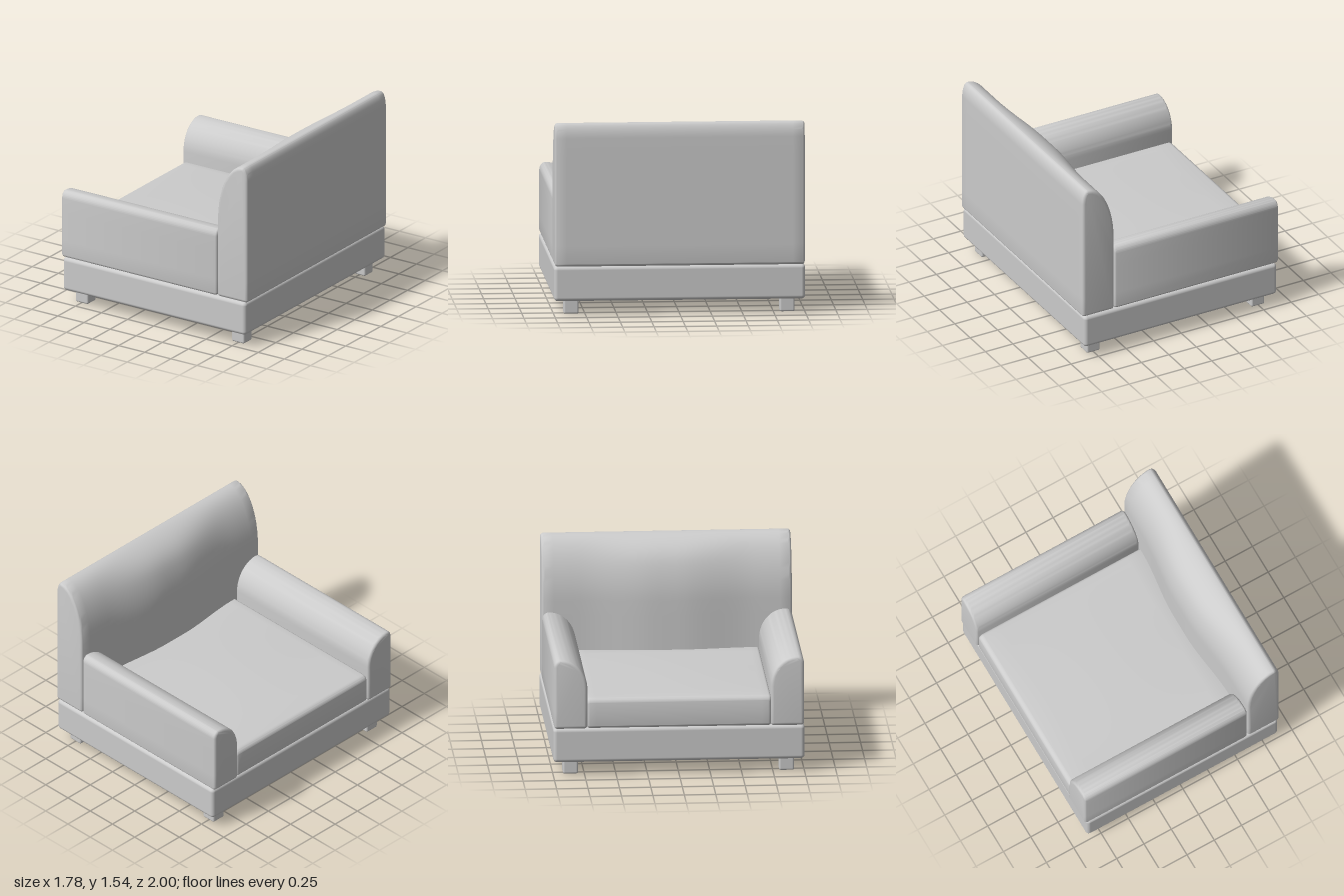
import * as THREE from 'three';
import { toCreasedNormals } from 'three/addons/utils/BufferGeometryUtils.js';
import { RoundedBoxGeometry } from 'three/addons/geometries/RoundedBoxGeometry.js';

const material = new THREE.MeshStandardMaterial({ color: 0xcccccc });

function addMesh(group, name, geometry, x, y, z) {
  const mesh = new THREE.Mesh(geometry, material);
  mesh.name = name;
  mesh.position.set(x, y, z);
  group.add(mesh);
  return mesh;
}

// Upholstered pad: a w x h profile with a broad curve (rx, ry) at its upper left
// and a smaller one (ox, oy) at its upper right, extruded along z about z = 0.
function padGeometry(w, h, length, rx, ry, ox, oy, bend) {
  const r = 0.025, bevel = 0.025;
  const outline = new THREE.Shape();
  outline.moveTo(r, 0);
  outline.lineTo(w - r, 0);
  outline.absarc(w - r, r, r, -Math.PI / 2, 0);
  outline.lineTo(w, h - oy);
  outline.absellipse(w - ox, h - oy, ox, oy, 0, Math.PI / 2);
  outline.lineTo(rx, h);
  outline.absellipse(rx, h - ry, rx, ry, Math.PI / 2, Math.PI);
  outline.lineTo(0, r);
  outline.absarc(r, r, r, Math.PI, Math.PI * 1.5);

  // Split long edges so the surface can bend
  const points = outline.getPoints(8);
  const fine = [];
  points.forEach((p, i) => {
    const q = points[(i + 1) % points.length];
    const n = Math.max(1, Math.ceil(p.distanceTo(q) / 0.15));
    for (let k = 0; k < n; k++) fine.push(p.clone().lerp(q, k / n));
  });
  const geometry = new THREE.ExtrudeGeometry(new THREE.Shape(fine), {
    depth: length - 2 * bevel, steps: bend ? 28 : 1,
    bevelEnabled: true, bevelThickness: bevel, bevelSize: bevel,
    bevelOffset: -bevel, bevelSegments: 4,
  });
  geometry.translate(0, 0, bevel - length / 2);
  if (bend) {
    const pos = geometry.attributes.position;
    const v = new THREE.Vector3();
    for (let i = 0; i < pos.count; i++) {
      bend(v.fromBufferAttribute(pos, i));
      pos.setXYZ(i, v.x, v.y, v.z);
    }
  }
  geometry.deleteAttribute('uv');
  return toCreasedNormals(geometry, 0.7);
}

export function createModel() {
  const chair = new THREE.Group();
  chair.name = 'armchair';

  // Base and feet
  addMesh(chair, 'base', new RoundedBoxGeometry(1.75, 0.28, 2, 4, 0.03), 0, 0.25, 0);
  for (const x of [-0.745, 0.75]) {
    for (const z of [-0.86, 0.86]) {
      addMesh(chair, 'foot', new RoundedBoxGeometry(0.12, 0.13, 0.12, 3, 0.015), x, 0.065, z);
    }
  }

  // Backrest, swelling towards the seat in the middle
  const back = padGeometry(0.29, 1.15, 1.99, 0.24, 0.5, 0.05, 0.12, (v) => {
    const across = 1 - THREE.MathUtils.smoothstep(Math.abs(v.z), 0.1, 0.7);
    const depth = 1 - THREE.MathUtils.smoothstep(v.x, 0.05, 0.22);
    v.x -= 0.052 * across * depth;
  });
  addMesh(chair, 'backrest', back, 0.6, 0.39, 0);

  // Arms, mirrored, with the broad curve on the inside
  const arm = padGeometry(0.265, 0.565, 1.49, 0.21, 0.24, 0.05, 0.06);
  for (const side of [-1, 1]) {
    const mesh = addMesh(chair, side > 0 ? 'frontArm' : 'rearArm', arm, -0.147, 0.39, side * 0.73);
    mesh.rotation.y = -side * Math.PI / 2;
  }

  // Seat cushion with a slight crown
  const seat = padGeometry(1.52, 0.245, 1.47, 0.045, 0.045, 0.03, 0.03, (v) => {
    if (v.y < 0.2) return;
    const fx = Math.sin(Math.PI * THREE.MathUtils.clamp(v.x / 1.52, 0, 1));
    v.y += 0.018 * fx * Math.cos(Math.PI * v.z / 1.47);
  });
  addMesh(chair, 'seatCushion', seat, -0.88, 0.39, 0);

  return chair;
}
